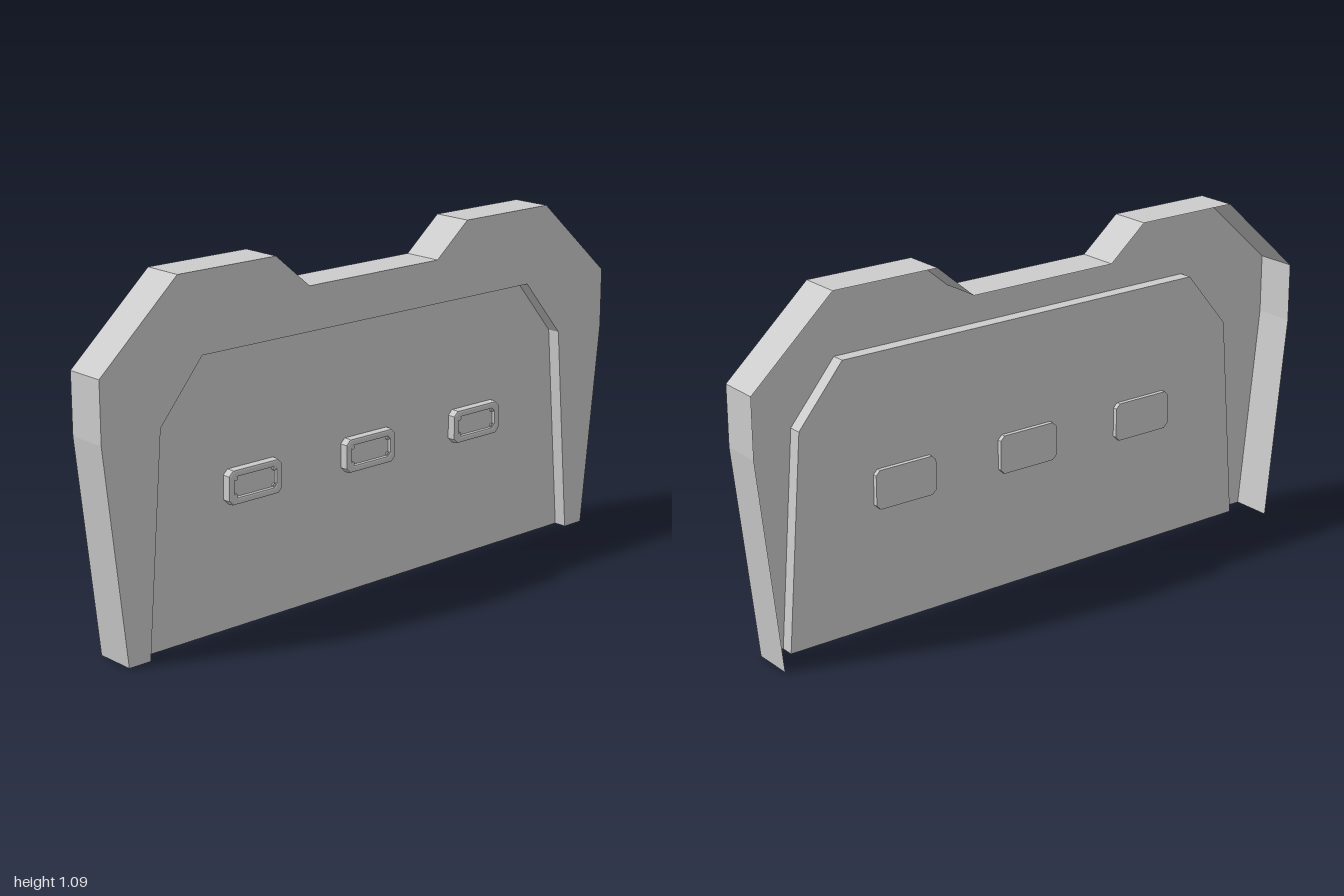
import * as THREE from 'three';

const FRONT = 0.065, BACK = -0.065, PANEL = 0.023;

const sheetMat = new THREE.MeshStandardMaterial({ color: 0xcccccc, flatShading: true, side: THREE.DoubleSide });
const solidMat = new THREE.MeshStandardMaterial({ color: 0xcccccc, flatShading: true });

// Mirror a right-hand half outline into a full left-to-right line
const mirrored = (half) => [...half.map(([x, y]) => [-x, y]), ...half.slice().reverse()];

const OUTER = mirrored([[0.93, 0], [1, 0.66], [1, 0.845], [0.73, 1.09], [0.38, 1.09], [0.255, 0.985]]);
const INNER = mirrored([[0.855, 0], [0.8, 0.67], [0.65, 0.85]]);

const toShape = (pts) => new THREE.Shape(pts.map(([x, y]) => new THREE.Vector2(x, y)));

function add(group, name, geometry, material, x = 0, y = 0, z = 0) {
  const mesh = new THREE.Mesh(geometry, material);
  mesh.name = name;
  mesh.position.set(x, y, z);
  group.add(mesh);
  return mesh;
}

// Thin wall following an open line, running from depth z0 to z1
function wall(pts, z0, z1) {
  const pos = [];
  for (let i = 0; i < pts.length - 1; i++) {
    const [ax, ay] = pts[i], [bx, by] = pts[i + 1];
    pos.push(ax, ay, z0, ax, ay, z1, bx, by, z1, ax, ay, z0, bx, by, z1, bx, by, z0);
  }
  const g = new THREE.BufferGeometry();
  g.setAttribute('position', new THREE.Float32BufferAttribute(pos, 3));
  g.computeVertexNormals();
  return g;
}

// Rectangle with cut corners
function cutRect(w, h, c) {
  const a = w / 2, b = h / 2;
  return [[-a + c, -b], [a - c, -b], [a, -b + c], [a, b - c], [a - c, b], [-a + c, b], [-a, b - c], [-a, -b + c]];
}

// Small framed lamp set through the panel
function createLamp() {
  const lamp = new THREE.Group();
  lamp.name = 'lamp';

  add(lamp, 'lampBackPlate',
    new THREE.ExtrudeGeometry(toShape(cutRect(0.212, 0.122, 0.014)), { depth: 0.014, bevelEnabled: false }),
    solidMat, 0, 0, 0.008);

  const rim = toShape(cutRect(0.188, 0.093, 0.012));
  rim.holes.push(toShape(cutRect(0.168, 0.073, 0.014)));
  add(lamp, 'lampRim',
    new THREE.ExtrudeGeometry(rim, {
      depth: 0.02, bevelEnabled: true, bevelSize: 0.006, bevelThickness: 0.006, bevelSegments: 2,
    }), solidMat, 0, 0, 0.024);

  add(lamp, 'lens', new THREE.BoxGeometry(0.166, 0.071, 0.016), solidMat, 0, 0, 0.032);

  for (const sx of [-1, 1]) for (const sy of [-1, 1]) {
    const screw = add(lamp, 'screw', new THREE.CylinderGeometry(0.006, 0.006, 0.008, 8), solidMat,
      sx * 0.072, sy * 0.025, 0.043);
    screw.rotation.x = Math.PI / 2;
  }
  return lamp;
}

export function createModel() {
  const model = new THREE.Group();
  model.name = 'barrier';

  // Front border with its opening down to the floor
  add(model, 'frontBorder', new THREE.ShapeGeometry(toShape([...OUTER, ...INNER.slice().reverse()])), sheetMat, 0, 0, FRONT);
  // Outer rim, open at the back
  add(model, 'outerRim', wall(OUTER, FRONT, BACK), sheetMat);
  // Recessed panel and the step around it
  add(model, 'recessWall', wall(INNER, FRONT, PANEL), sheetMat);
  add(model, 'recessedPanel', new THREE.ShapeGeometry(toShape(INNER)), sheetMat, 0, 0, PANEL);

  // Row of lamps
  for (const x of [-0.45, 0, 0.45]) {
    const lamp = createLamp();
    lamp.position.set(x, 0.435, 0);
    model.add(lamp);
  }
  return model;
}
